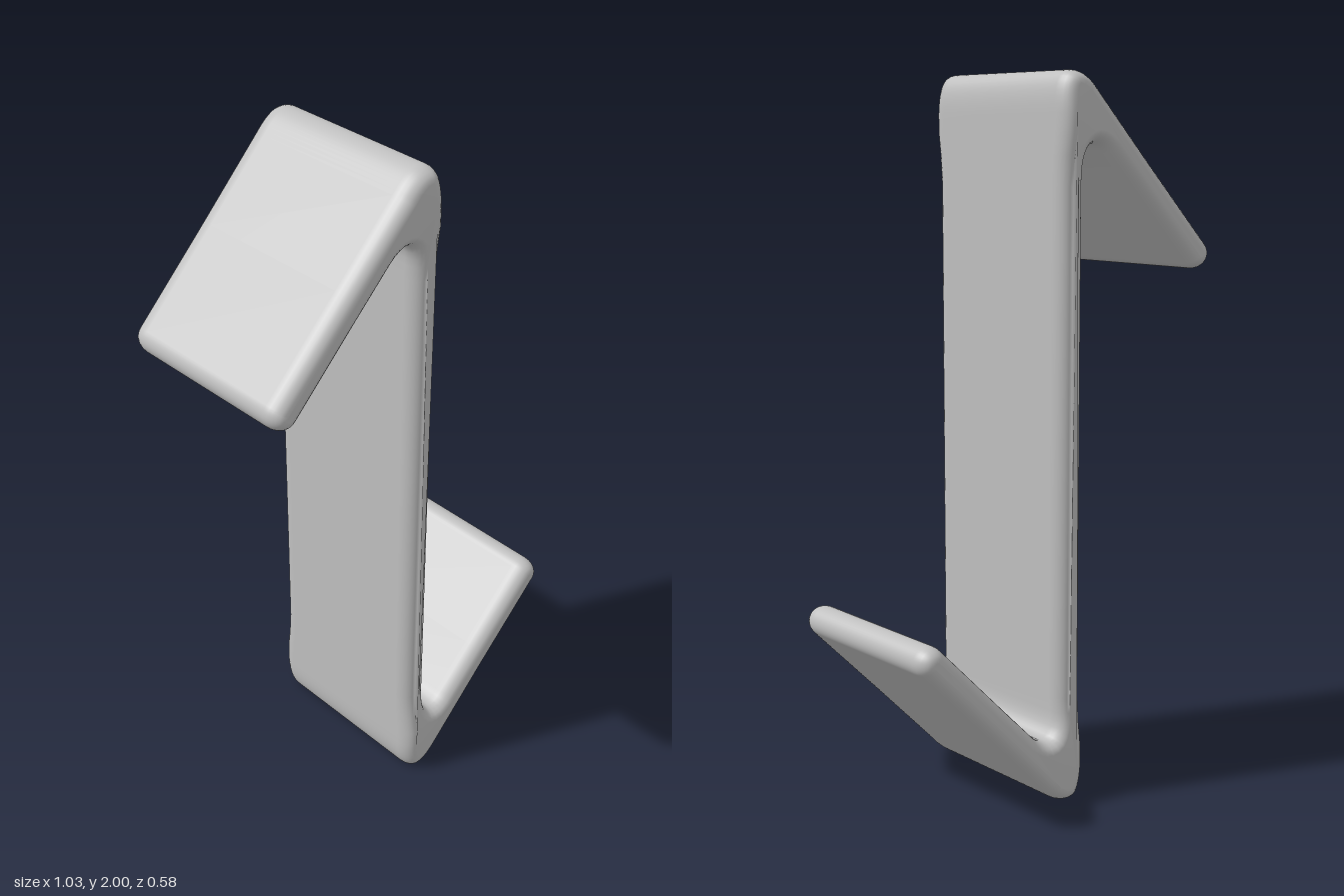
import * as THREE from 'three';
import { mergeVertices } from 'three/addons/utils/BufferGeometryUtils.js';

const HALF_THICK = 0.042; // half thickness of the upright
const HALF_WIDTH = 0.283; // half width of the arms
const BEVEL = 0.05;

// Half of the side profile: up the upright, over the fold, around the arm tip, back to the inner crotch.
function halfProfile() {
  const r = 0.044, cx = -0.472, cy = 1.506, d = r * Math.SQRT1_2;
  const p = new THREE.Path();
  p.moveTo(HALF_THICK, 0.3);
  for (const y of [0.5, 1, 1.5, 1.7, 1.78, 1.84, 1.89]) p.lineTo(HALF_THICK, y);
  p.bezierCurveTo(HALF_THICK, 1.97, 0.025, 2.0, -0.008, 2.0);
  p.bezierCurveTo(-0.04, 2.0, -0.065, 1.98, -0.095, 1.947);
  p.lineTo(-0.28, 1.76);
  p.lineTo(cx - d, cy + d);
  p.absarc(cx, cy, r, Math.PI * 0.75, Math.PI * 1.75, false);
  p.lineTo(-0.25, 1.666);
  p.lineTo(-0.13, 1.785);
  p.bezierCurveTo(-0.085, 1.83, -HALF_THICK, 1.82, -HALF_THICK, 1.74);
  return p.getPoints(10);
}

// Plate folded at both ends: the second half is the first turned by 180 degrees.
function foldedPlate() {
  const half = halfProfile();
  const turned = half.map(p => new THREE.Vector2(-p.x, 2 - p.y));
  const outline = [...half, ...turned].filter((p, i, a) => i === 0 || p.distanceTo(a[i - 1]) > 1e-4);
  const geo = new THREE.ExtrudeGeometry(new THREE.Shape(outline), {
    depth: 2 * (HALF_WIDTH - BEVEL), bevelEnabled: true, bevelSegments: 6,
    bevelSize: 0.034, bevelOffset: -0.034, bevelThickness: BEVEL,
  });
  geo.translate(0, 0, BEVEL - HALF_WIDTH);

  // The upright is a little narrower than the arms, and the folds bulge slightly.
  const pos = geo.attributes.position;
  for (let i = 0; i < pos.count; i++) {
    const x = Math.abs(pos.getX(i)), y = Math.abs(pos.getY(i) - 1);
    const arm = Math.max(THREE.MathUtils.smoothstep(x, 0.05, 0.1), THREE.MathUtils.smoothstep(y, 0.7, 0.86));
    const bulge = 0.02 * Math.exp(-(((y - 0.87) / 0.07) ** 2) - (x / 0.1) ** 2);
    pos.setZ(i, pos.getZ(i) * (0.961 + 0.039 * arm + bulge));
  }

  // Smooth shading over the whole skin
  geo.deleteAttribute('normal');
  geo.deleteAttribute('uv');
  const smooth = mergeVertices(geo, 1e-5);
  smooth.computeVertexNormals();
  return smooth;
}

export function createModel() {
  const group = new THREE.Group();
  group.name = 'foldedHook';
  const grey = new THREE.MeshStandardMaterial({ color: 0xc0c0c0 });
  grey.name = 'light grey';
  const plate = new THREE.Mesh(foldedPlate(), grey);
  plate.name = 'foldedPlate';
  group.add(plate);
  return group;
}
